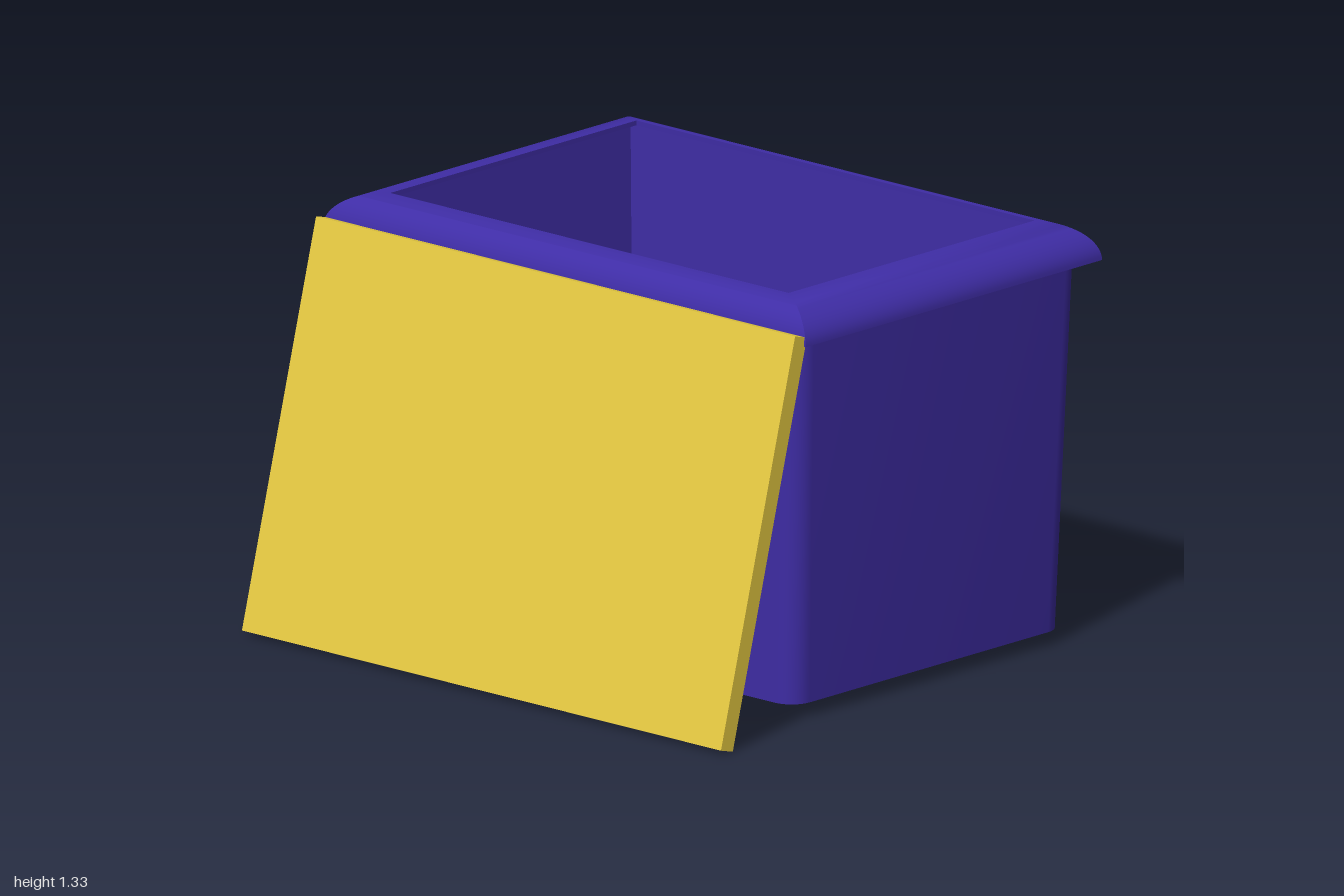
import * as THREE from 'three';
import { toCreasedNormals } from 'three/addons/utils/BufferGeometryUtils.js';

// Horizontal rectangle with half sizes hx, hz and corner radius r, at height y
function rectLoop(hx, hz, y, r = 0, segments = 0) {
  const points = [];
  [[1, 1], [-1, 1], [-1, -1], [1, -1]].forEach(([sx, sz], corner) => {
    for (let i = 0; i <= segments; i++) {
      const a = (corner + (segments ? i / segments : 0.5)) * Math.PI / 2;
      points.push([sx * (hx - r) + r * Math.cos(a), y, sz * (hz - r) + r * Math.sin(a)]);
    }
  });
  return points;
}

// Skin joining successive loops
function loft(loops) {
  const n = loops[0].length;
  const index = [];
  for (let j = 0; j < loops.length - 1; j++) {
    for (let i = 0; i < n; i++) {
      const a = j * n + i, b = j * n + (i + 1) % n;
      index.push(a, a + n, b, b, a + n, b + n);
    }
  }
  const geometry = new THREE.BufferGeometry();
  geometry.setAttribute('position', new THREE.Float32BufferAttribute(loops.flat(2), 3));
  geometry.setIndex(index);
  return toCreasedNormals(geometry, 0.6);
}

export function createModel() {
  const group = new THREE.Group();
  const blue = new THREE.MeshStandardMaterial({ color: 0x3f2da6 });
  const yellow = new THREE.MeshStandardMaterial({ color: 0xe8cc42 });
  const add = (name, geometry, material, x, y, z) => {
    const mesh = new THREE.Mesh(geometry, material);
    mesh.name = name;
    mesh.position.set(x, y, z);
    group.add(mesh);
    return mesh;
  };
  const tubZ = -0.185;

  // Tapered outer walls with rounded corners, closed at the bottom
  add('tubWalls', loft([
    rectLoop(0, 0, 0.045, 0, 8),
    rectLoop(0.897, 0.61, 0.045, 0.075, 8),
    rectLoop(0.942, 0.64, 1.22, 0.075, 8),
  ]), blue, 0, 0, tubZ);

  // Overhanging rim: flat underside and a wide rounded shoulder up to the opening
  const rim = [rectLoop(0.88, 0.585, 1.215)];
  for (let i = 0; i <= 16; i++) {
    const a = i / 16 * Math.PI / 2;
    rim.push(rectLoop(0.825 + 0.175 * Math.cos(a), 0.5525 + 0.1125 * Math.cos(a), 1.215 + 0.115 * Math.sin(a)));
  }
  add('rim', loft(rim), blue, 0, 0, tubZ);

  // Thin lip at the opening, then tapered inner walls and the floor
  add('interior', loft([
    rectLoop(0.825, 0.5525, 1.33),
    rectLoop(0.825, 0.5525, 1.315),
    rectLoop(0.88, 0.585, 1.315),
    rectLoop(0.845, 0.56, 0.105),
    rectLoop(0, 0, 0.105),
  ]), blue, 0, 0, tubZ);

  // Lid leaning against the front of the rim
  const lid = add('lid', new THREE.BoxGeometry(1.985, 1.285, 0.055), yellow, 0, 0.628, 0.659);
  lid.rotation.x = -Math.PI / 12;

  return group;
}
